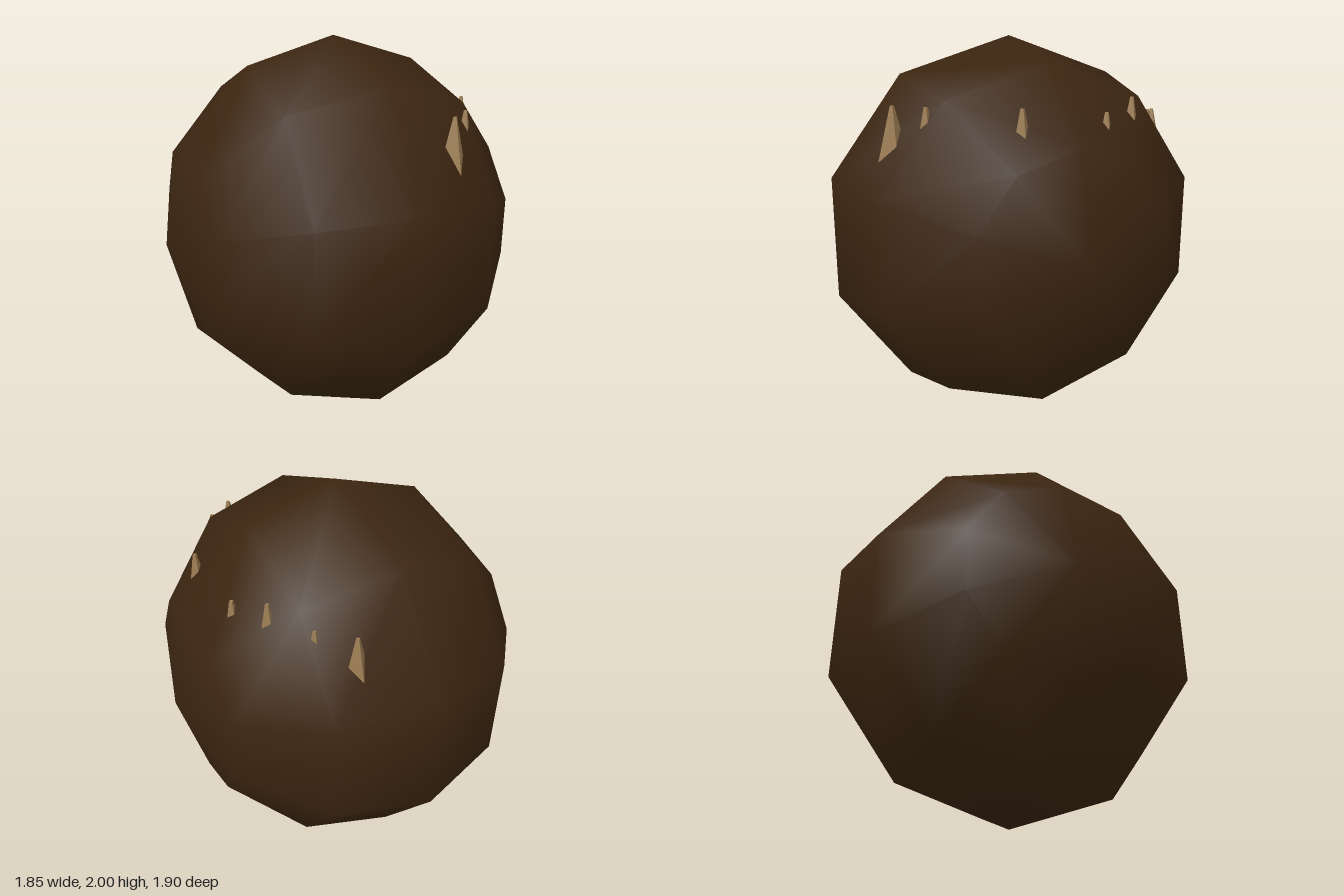
import * as THREE from 'three';

export function createModel() {
  const group = new THREE.Group();
  const darkBrown = new THREE.MeshStandardMaterial({ color: 0x3b2510 });
  darkBrown.name = 'darkBrown';
  const tan = new THREE.MeshStandardMaterial({ color: 0x9a7b52, flatShading: true });
  tan.name = 'tan';

  // Smooth ball with its poles on the x axis, slightly squashed along that axis
  const ball = new THREE.SphereGeometry(1, 10, 6);
  ball.rotateZ(-Math.PI / 2);
  ball.scale(0.925, 1, 1);
  const body = new THREE.Mesh(ball, darkBrown);
  body.name = 'body';
  body.position.y = 1;
  group.add(body);

  // Four-sided upright spikes whose tips poke through the surface: x, z, tip height, flare
  const spikes = [
    [0.29, 0.70, 1.675, 0.25],
    [0.43, 0.58, 1.675, 0.2],
    [0.66, 0.21, 1.675, 0.2],
    [0.65, -0.22, 1.645, 0.2],
    [0.56, -0.41, 1.705, 0.2],
    [0.43, -0.59, 1.63, 0.2],
    [0.29, -0.71, 1.62, 0.25],
  ];
  const height = 0.3;
  spikes.forEach(([x, z, tip, flare], i) => {
    const geometry = new THREE.CylinderGeometry(0.01, 0.01 + flare * height, height, 4);
    const spike = new THREE.Mesh(geometry, tan);
    spike.name = `spike${i + 1}`;
    spike.position.set(x, tip - height / 2, z);
    group.add(spike);
  });
  return group;
}
